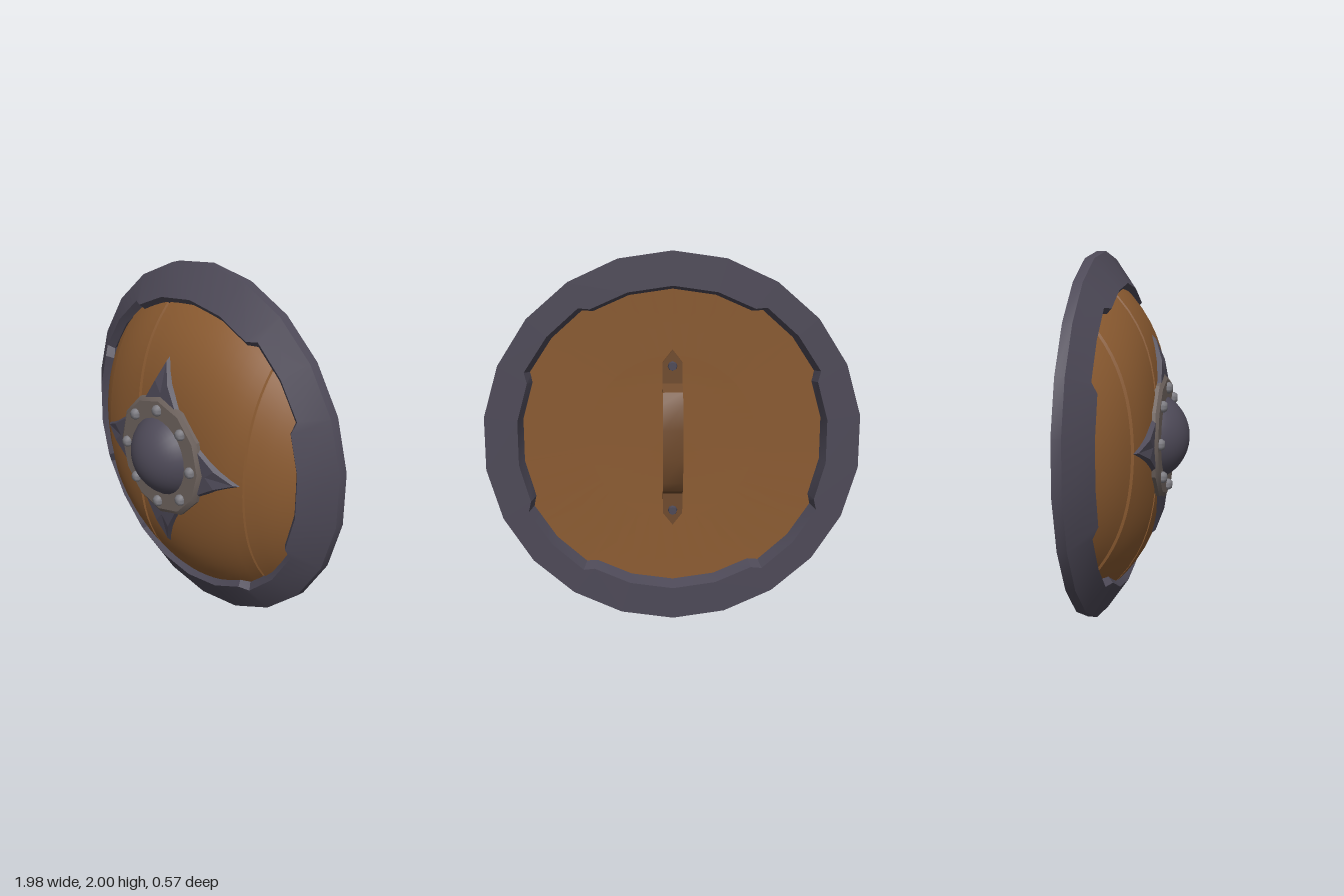
import * as THREE from 'three';
import { toCreasedNormals } from 'three/addons/utils/BufferGeometryUtils.js';

const mat = (name, color) => {
  const m = new THREE.MeshStandardMaterial({ color });
  m.name = name;
  return m;
};

// Skin between cross-sections; each section is a closed ring of [x, y, z] points
function loft(sections, closed = false, crease = 0.45) {
  const pos = [];
  const n = sections.length, m = sections[0].length;
  for (let i = 0; i < (closed ? n : n - 1); i++) {
    const s = sections[i], t = sections[(i + 1) % n];
    for (let j = 0; j < m; j++) {
      const k = (j + 1) % m;
      pos.push(...s[j], ...s[k], ...t[k], ...s[j], ...t[k], ...t[j]);
    }
  }
  const g = new THREE.BufferGeometry();
  g.setAttribute('position', new THREE.Float32BufferAttribute(pos, 3));
  return toCreasedNormals(g, crease);
}

// Turned part whose axis points to +z; profile is [radius, z]
function turned(profile, sides, crease = 0.4) {
  const g = new THREE.LatheGeometry(profile.map(p => new THREE.Vector2(...p)), sides);
  return toCreasedNormals(g.rotateX(Math.PI / 2), crease);
}

// Domed planked front: height falls with radius, with steps and a groove at the seams
function plankFront() {
  const R = 0.85, rows = 24;
  const xs = [];
  const add = (a, b, n, off) => {
    for (let i = 0; i <= n; i++) xs.push([a + (b - a) * i / n, off]);
  };
  add(-R, -0.552, 6, -0.012);
  add(-0.546, -0.21, 6, 0);
  xs.push([-0.205, -0.015], [-0.19, -0.015]);
  add(-0.185, 0.567, 12, 0);
  xs.push([0.572, -0.01], [0.58, -0.01]);
  add(0.586, R, 5, 0.01);
  const pos = [], idx = [];
  xs.forEach(([x, off], i) => {
    const h = Math.sqrt(Math.max(0, R * R - x * x));
    for (let j = 0; j <= rows; j++) {
      const y = h * (2 * j / rows - 1), q = x * x + y * y;
      pos.push(x, y, 0.145 - 0.102 * q - 0.397 * q * q + off);
      if (i && j) {
        const d = i * (rows + 1) + j, c = d - 1, b = d - rows - 1, a = b - 1;
        idx.push(a, c, d, a, d, b);
      }
    }
  });
  const g = new THREE.BufferGeometry();
  g.setAttribute('position', new THREE.Float32BufferAttribute(pos, 3));
  g.setIndex(idx);
  return toCreasedNormals(g, 0.5);
}

// 22-sided rim, its inner edge set back between four wide lips
function rimGeometry() {
  const sections = [];
  const step = Math.PI * 2 / 22, nudge = 0.028;
  const section = (a, inner, o) => {
    const at = (r, z, t) => [r * Math.sin(t), r * Math.cos(t), z];
    sections.push([
      at(1, -0.225, a), at(1, -0.175, a),
      at(0.83 + o, -0.055 - 0.7 * o, inner),
      at(0.79 + o, -0.09 - 0.5 * o, inner), at(0.825 + o, -0.225, inner),
    ]);
  };
  const enter = [2, 7, 13, 18], leave = [4, 9, 15, 20], recessed = [3, 8, 14, 19];
  for (let k = 0; k < 22; k++) {
    const a = k * step, deep = 0.037;
    if (enter.includes(k)) {
      section(a, a - nudge, 0);
      section(a, a + nudge, deep);
    } else if (leave.includes(k)) {
      section(a, a - nudge, deep);
      section(a, a + nudge, 0);
    } else section(a, a, recessed.includes(k) ? deep : 0);
  }
  return loft(sections, true);
}

export function createModel() {
  const wood = mat('wood', 0x8a5a30);
  const darkMetal = mat('dark metal', 0x4d4957);
  const ringMetal = mat('ring metal', 0x6e635e);
  const rivetMetal = mat('rivet metal', 0x7b7a80);
  const leather = mat('leather', 0x6f4a2c);

  const model = new THREE.Group();
  model.name = 'roundShield';
  const body = new THREE.Group();
  body.name = 'shieldBody';
  body.position.y = 1;
  model.add(body);
  const add = (name, geometry, material, parent = body) => {
    const mesh = new THREE.Mesh(geometry, material);
    mesh.name = name;
    parent.add(mesh);
    return mesh;
  };

  add('rim', rimGeometry(), darkMetal);
  add('plankFront', plankFront(), wood);
  add('plankBack', turned([[0, -0.118], [0.45, -0.127], [0.87, -0.142]], 44), wood);

  // Central boss and its collar
  const R = 0.2526;
  add('bossDome', new THREE.SphereGeometry(R, 28, 10, 0, Math.PI * 2, 0, 1.03)
    .rotateX(Math.PI / 2), darkMetal).position.z = 0.285 - R;
  add('bossCollar', turned([[0.342, 0.08], [0.342, 0.147], [0.318, 0.163], [0.2, 0.163]], 12), ringMetal);

  // Eight collar rivets
  const rivet = turned([[0.031, 0.155], [0.031, 0.176], [0.021, 0.19], [0, 0.193]], 10, 0.9);
  for (let i = 0; i < 8; i++) {
    const a = i * Math.PI / 4;
    add('collarRivet', rivet, rivetMetal).position.set(0.268 * Math.cos(a), 0.268 * Math.sin(a), 0);
  }

  // Four bevelled spikes, tucked under the collar and bending down with the dome
  const centre = [0, 0.36, 0.146];
  const spike = loft([
    [[-0.155, 0.305, 0.1], [0.155, 0.305, 0.1], [0.072, 0.42, 0.095], [0, 0.552, 0.078], [-0.072, 0.42, 0.095]],
    [[-0.125, 0.3, 0.15], [0.125, 0.3, 0.15], [0.05, 0.42, 0.14], [0, 0.532, 0.1], [-0.05, 0.42, 0.14]],
    [centre, centre, centre, centre, centre],
  ], false, 0.2);
  for (let i = 0; i < 4; i++) add('spike', spike, darkMetal).rotation.z = i * Math.PI / 2;

  // Hand strap bowed away from the back
  const half = [[0.37, -0.143], [0.305, -0.15], [0.27, -0.225], [0.215, -0.262], [0.08, -0.285]];
  const path = [...half, ...half.slice().reverse().map(([y, z]) => [-y, z])];
  const w = 0.053;
  add('handStrap', loft(path.map(([y, z]) => [
    [-w, y, z], [w, y, z], [w, y * 0.955, z + 0.012], [-w, y * 0.955, z + 0.012],
  ])), leather);

  // Pointed strap ends with a rivet each
  const foot = new THREE.Shape([[-w, 0.3], [w, 0.3], [w, 0.415], [0, 0.483], [-w, 0.415]]
    .map(p => new THREE.Vector2(...p)));
  const footGeo = new THREE.ExtrudeGeometry(foot, { depth: 0.03, bevelEnabled: false });
  const pin = new THREE.CylinderGeometry(0.028, 0.022, 0.03, 8).rotateX(Math.PI / 2);
  for (const turn of [0, Math.PI]) {
    const end = new THREE.Group();
    end.name = 'strapEnd';
    end.rotation.z = turn;
    body.add(end);
    add('strapFoot', footGeo, leather, end).position.z = -0.15;
    add('strapRivet', pin, darkMetal, end).position.set(0, 0.398, -0.155);
  }
  return model;
}
